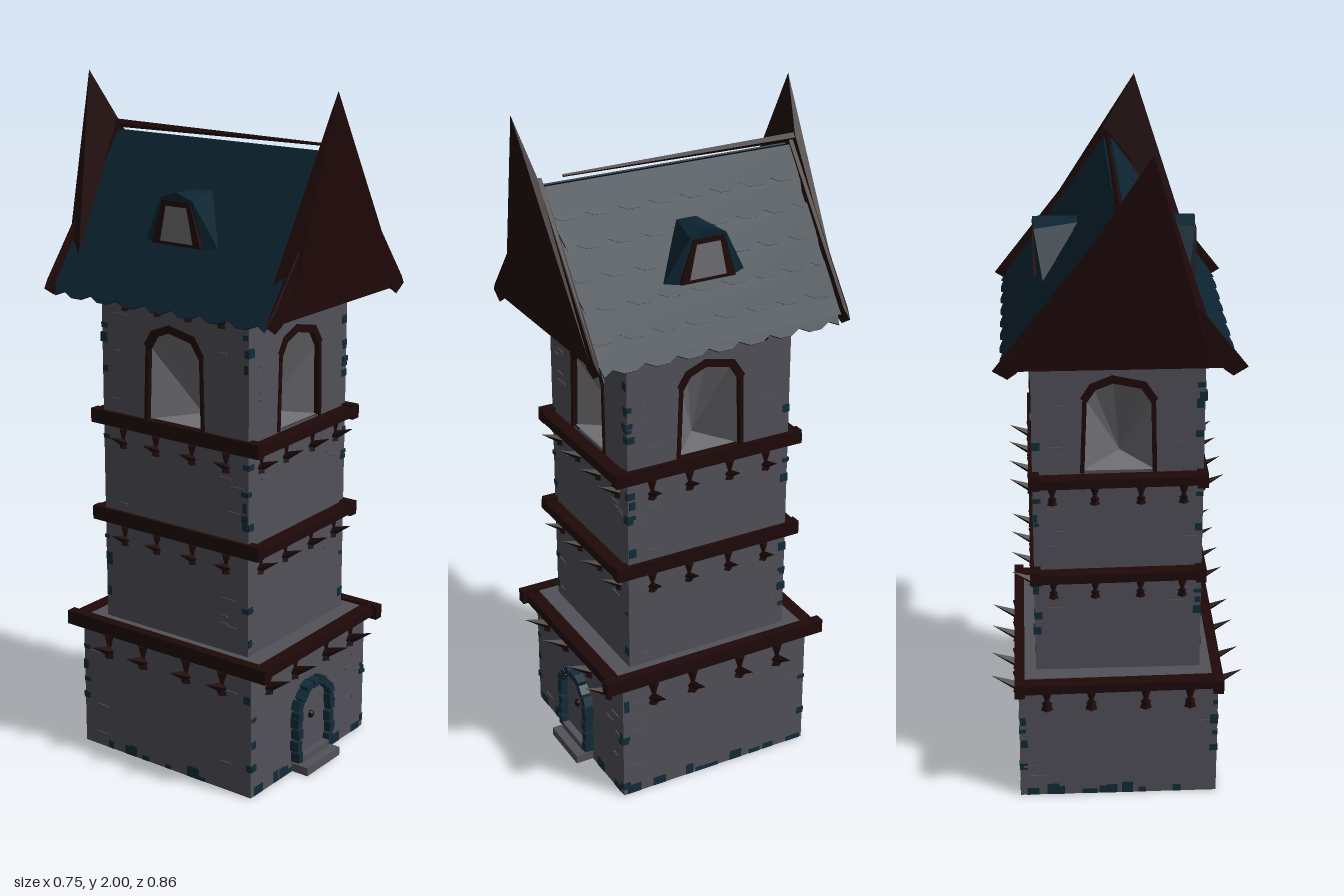
import * as THREE from 'three';
import { ConvexGeometry } from 'three/addons/geometries/ConvexGeometry.js';

const mat = (name, color, side = THREE.FrontSide) => {
  const m = new THREE.MeshStandardMaterial({ color, flatShading: true, side });
  m.name = name;
  return m;
};
const V = (x, y, z) => new THREE.Vector3(x, y, z);

export function createModel() {
  const root = new THREE.Group();
  root.name = 'tower';
  const stone = mat('stone', 0x525159, THREE.DoubleSide);
  const pale = mat('paleStone', 0x706f74, THREE.DoubleSide);
  const wood = mat('darkWood', 0x1f0909);
  const tile = mat('roofTile', 0x0c2431);
  const teal = mat('tealStone', 0x112c38);
  const olive = mat('soffit', 0x45431d);
  let seed = 7;
  const rnd = () => (seed = (seed * 16807) % 2147483647) / 2147483647;

  const add = (parent, name, geo, m, x = 0, y = 0, z = 0) => {
    const mesh = new THREE.Mesh(geo, m);
    mesh.name = name;
    mesh.position.set(x, y, z);
    parent.add(mesh);
    return mesh;
  };
  const box = (parent, name, m, w, h, d, x, y, z) => add(parent, name, new THREE.BoxGeometry(w, h, d), m, x, y, z);
  const pathOf = (pts) => new THREE.Path(pts.map((p) => new THREE.Vector2(p[0], p[1])));
  const shapeOf = (pts) => new THREE.Shape(pts.map((p) => new THREE.Vector2(p[0], p[1])));
  const rect = (w, d) => [[-w, -d], [w, -d], [w, d], [-w, d]];
  const plate = (shape, depth) => new THREE.ExtrudeGeometry(shape, { depth, bevelEnabled: false });

  // Calls fn for each of the four sides: local +z points outwards
  const sides = (name, hx, hz, fn) => {
    for (let k = 0; k < 4; k++) {
      const g = new THREE.Group();
      g.name = name;
      g.rotation.y = (k * Math.PI) / 2;
      root.add(g);
      fn(g, k % 2 ? hx : hz, k % 2 ? hz : hx, k);
    }
  };

  // Hollow stone body, open underneath, with a ledge on the base
  const shell = (name, hx, hz, y0, y1) => sides(name, hx, hz, (g, d, w) =>
    add(g, 'wallPanel', new THREE.PlaneGeometry(2 * w, y1 - y0), stone, 0, (y0 + y1) / 2, d));
  shell('baseWall', 0.2925, 0.31, 0, 0.408);
  shell('shaftWall', 0.24, 0.26, 0.408, 1.04);
  const ledge = shapeOf(rect(0.2925, 0.31));
  ledge.holes.push(pathOf(rect(0.24, 0.26)));
  add(root, 'ledge', new THREE.ShapeGeometry(ledge).rotateX(-Math.PI / 2), stone, 0, 0.408, 0);

  // Upper storey: pierced walls, sunken window faces and crooked frames
  const arch = [[-0.1, 1.05], [-0.092, 1.27], [-0.07, 1.305], [-0.015, 1.327], [0.07, 1.308], [0.098, 1.265], [0.103, 1.05]];
  sides('upperWall', 0.24, 0.26, (g, d, w) => {
    const wall = shapeOf([[-w, 1.04], [w, 1.04], [w, 1.42], [-w, 1.42]]);
    wall.holes.push(pathOf(arch));
    add(g, 'wallPanel', new THREE.ShapeGeometry(wall), stone, 0, 0, d);
    const fan = [];
    arch.forEach((p, i) => {
      const q = arch[(i + 1) % arch.length];
      fan.push(q[0], q[1], d - 0.005, p[0], p[1], d - 0.005, 0.01, 1.06, d - 0.12);
    });
    const geo = new THREE.BufferGeometry();
    geo.setAttribute('position', new THREE.Float32BufferAttribute(fan, 3));
    geo.computeVertexNormals();
    add(g, 'windowRecess', geo, pale);
    for (let i = 0; i < arch.length - 1; i++) {
      const [a, b] = [arch[i], arch[i + 1]];
      const len = Math.hypot(b[0] - a[0], b[1] - a[1]);
      const upright = i === 0 || i === arch.length - 2;
      const bar = box(g, 'windowFrame', wood, upright ? 0.012 : 0.022, len + 0.01, 0.024, (a[0] + b[0]) / 2, (a[1] + b[1]) / 2, d - 0.008);
      bar.rotation.z = -Math.atan2(b[0] - a[0], b[1] - a[1]);
    }
  });

  // Wooden bands with brackets below
  const hourglass = new THREE.LatheGeometry(
    [[0, -0.035], [0.018, -0.035], [0.007, 0], [0.018, 0.035], [0, 0.035]].map((p) => new THREE.Vector2(...p)), 4);
  const spike = new THREE.ConeGeometry(0.018, 0.1, 4).rotateX(Math.PI / 2 - 0.45);
  const brackets = (g, d, y, xs, s) => xs.forEach((x) => {
    add(g, 'bracket', hourglass, wood, x, y - 0.026 * s, d + 0.004).scale.set(s, s, 0.7 * s);
    add(g, 'bracketSpike', spike, wood, x, y - 0.024 * s, d + 0.036 * s).scale.setScalar(s);
  });
  const bands = [
    [0.395, 0.2925, 0.31, 0.365, 0.3, [0.21, 0.08], 1],
    [0.73, 0.24, 0.26, 0.3, 0.25, [0.185, 0.065], 0.8],
    [1.03, 0.24, 0.26, 0.3, 0.25, [0.185, 0.065], 0.8],
  ];
  for (const [y, hx, hz, lz, lx, xs, s] of bands) {
    sides('band', hx, hz, (g, d, w, k) => {
      const onX = k % 2;
      const beam = box(g, 'bandBeam', wood, 2 * (onX ? lz : lx), onX ? 0.042 : 0.028, onX ? 0.03 : 0.04,
        0, y, onX ? d - 0.004 : d + 0.022);
      beam.rotation.z = onX ? 0 : 0.012;
      brackets(g, d, y - 0.033, [...xs, ...xs.map((x) => -x)], s);
    });
  }
  sides('eavesBrackets', 0.24, 0.26, (g, d) => brackets(g, d, 1.405, [-0.17, -0.055, 0.055, 0.17], 0.75));

  // Loose stones at the corners, along the foot and across the walls
  const bits = (hx, hz, y0, y1, n) => sides('looseStones', hx, hz, (g, d, w) => {
    for (let i = 0; i < n; i++) {
      const y = y0 + (y1 - y0) * rnd();
      const edge = (rnd() < 0.5 ? -1 : 1) * (w - 0.004 - 0.01 * rnd());
      box(g, 'cornerStone', teal, 0.014 + 0.01 * rnd(), 0.01 + 0.018 * rnd(), 0.024, edge, y, d - 0.01);
      const x = (rnd() < 0.5 ? -1 : 1) * (w - 0.03 - 0.06 * rnd());
      box(g, 'brick', stone, 0.02 + 0.03 * rnd(), 0.006, 0.006, x, y0 + (y1 - y0) * rnd(), d);
    }
  });
  bits(0.2925, 0.31, 0.03, 0.34, 5);
  bits(0.24, 0.26, 0.44, 0.68, 4);
  bits(0.24, 0.26, 0.77, 0.98, 4);
  bits(0.24, 0.26, 1.07, 1.36, 4);
  sides('footStones', 0.2925, 0.31, (g, d, w) => {
    for (let i = 0; i < 9; i++) {
      const h = 0.012 + 0.025 * rnd();
      box(g, 'footStone', teal, 0.02 + 0.03 * rnd(), h, 0.02, (rnd() * 2 - 1) * (w - 0.03), h / 2, d - 0.009);
    }
  });

  // Door with stone arch, knob and steps
  const door = new THREE.Shape();
  door.moveTo(-0.075, 0.03).lineTo(0.075, 0.03).lineTo(0.075, 0.18);
  door.absarc(0, 0.18, 0.075, 0, Math.PI, false);
  add(root, 'door', plate(door, 0.006), stone, 0, 0, 0.309);
  add(root, 'doorKnob', new THREE.SphereGeometry(0.012, 8, 6), wood, 0, 0.155, 0.315);
  for (const s of [-1, 1]) {
    for (let i = 0; i < 4; i++) {
      box(root, 'doorStone', teal, 0.022, 0.031, 0.06, s * (0.08 + 0.005 * (i % 2)), 0.05 + i * 0.037, 0.308);
    }
  }
  for (let i = 0; i <= 8; i++) {
    const a = (i / 8) * Math.PI;
    const r = 0.081 + 0.005 * (i % 2);
    box(root, 'archStone', teal, 0.022, 0.03, 0.06, r * Math.cos(a), 0.18 + r * Math.sin(a), 0.308).rotation.z = a;
  }
  box(root, 'upperStep', stone, 0.14, 0.02, 0.03, 0, 0.037, 0.322);
  box(root, 'lowerStep', stone, 0.17, 0.026, 0.06, 0, 0.013, 0.335);

  // Roof core, undersides and rows of scalloped tiles
  add(root, 'roofCore', plate(shapeOf([[-0.305, 1.415], [0.305, 1.415], [0, 1.815]]), 0.77), tile, 0, 0, -0.385);
  for (const s of [-1, 1]) {
    box(root, 'sideSoffit', olive, 0.045, 0.008, 0.76, s * 0.262, 1.411, 0);
    box(root, 'endSoffit', wood, 0.56, 0.008, 0.11, 0, 1.41, s * 0.33);
  }
  const slope = 0.517, rows = 6, rowH = slope / rows, tw = 0.77 / 8;
  const ca = 0.595, sa = 0.804;
  for (const s of [-1, 1]) {
    for (let r = 0; r < rows; r++) {
      const pts = [[0.385, r * rowH], [-0.385, r * rowH]];
      const v = (r + 1) * rowH;
      for (let t = r % 2 ? -0.5 : 0; t < 8; t++) {
        for (const [f, dv] of [[0.02, 0], [0.3, 0.014], [0.7, 0.014], [0.98, 0]]) {
          const u = -0.385 + (t + f) * tw;
          if (Math.abs(u) < 0.385) pts.push([u, v + dv]);
        }
      }
      const geo = plate(shapeOf(pts), 0.005);
      geo.applyMatrix4(new THREE.Matrix4().makeBasis(V(0, 0, s), V(s * ca, -sa, 0), V(s * sa, ca, 0)));
      const n = (rows - r) * 0.0015;
      add(root, 'tileRow', geo, tile, s * sa * n, 1.815 + ca * n, 0);
    }
  }
  const ridge = new THREE.CylinderGeometry(0.012, 0.004, 0.74, 4).rotateX(-Math.PI / 2);
  add(root, 'ridgeBeam', ridge, wood, 0.003, 1.842, -0.05);

  // Gables: panel, thin sloping boards and a leaning horn
  for (const s of [-1, 1]) {
    const z = 0.388 * s;
    add(root, 'gablePanel', plate(shapeOf([[-0.29, 1.415], [0.29, 1.415], [0, 1.83]]), 0.008), wood, 0, 0, z - 0.004);
    for (const m of [-1, 1]) {
      const pts = [V(m * 0.34, 1.41, z), V(m * 0.3, 1.385, z)];
      for (const dz of [-0.007, 0.006]) {
        for (const [x, y] of [[0.318, 1.435], [0.275, 1.405], [0, 1.78], [0, 1.845]]) pts.push(V(m * x, y, z + s * dz));
      }
      add(root, 'gableBoard', new ConvexGeometry(pts), wood);
    }
    const horn = [[-0.08, 2, 0.428], [-0.24, 1.43, 0.394], [-0.25, 1.48, 0.336], [0.29, 1.43, 0.394], [0.012, 1.85, 0.398]];
    add(root, 'gableHorn', new ConvexGeometry(horn.map((p) => V(p[0], p[1], p[2] * s))), wood);
  }

  // Dormers on both slopes
  for (const s of [-1, 1]) {
    const g = new THREE.Group();
    g.name = 'dormer';
    g.rotation.y = (s * Math.PI) / 2;
    root.add(g);
    const hood = [[0.125, 1.565, 0.2], [0.055, 1.69, 0.222], [0.03, 1.7, 0.095], [0.085, 1.56, 0.215], [0.1, 1.56, 0.15]];
    const pts = [V(0, 1.71, 0.225)];
    for (const [x, y, z] of hood) pts.push(V(x, y, z), V(-x, y, z));
    add(g, 'dormerHood', new ConvexGeometry(pts), tile);
    const inner = [[-0.058, 1.57], [0.058, 1.57], [0.037, 1.67], [-0.037, 1.67]];
    const outer = shapeOf([[-0.085, 1.562], [0.085, 1.562], [0.047, 1.685], [-0.047, 1.685]]);
    outer.holes.push(pathOf(inner));
    add(g, 'dormerFrame', plate(outer, 0.01), wood, 0, 0, 0.216);
    add(g, 'dormerPane', plate(shapeOf(inner), 0.005), pale, 0, 0, 0.218);
  }
  return root;
}
